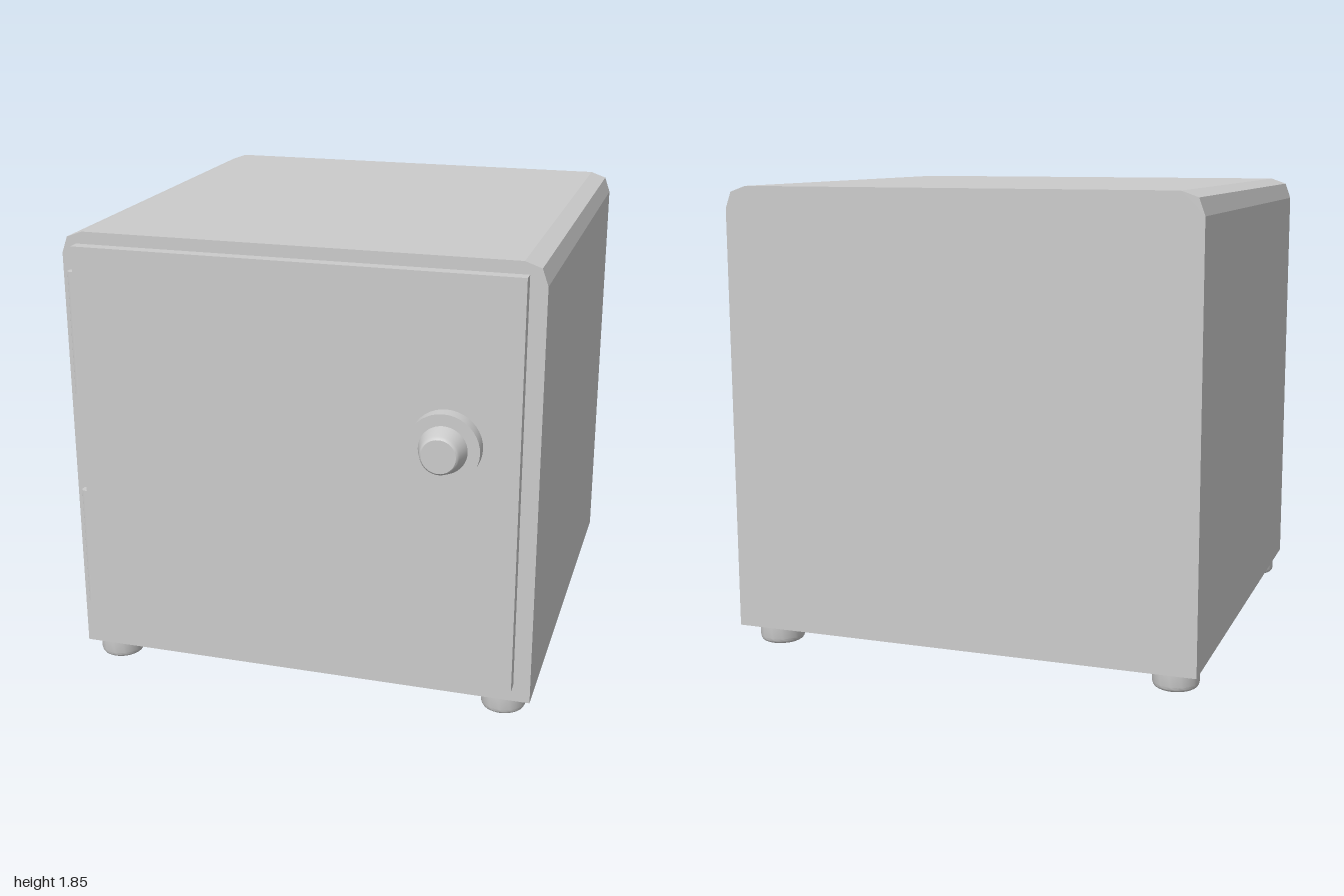
import * as THREE from 'three';
import { toCreasedNormals } from 'three/addons/utils/BufferGeometryUtils.js';

const material = new THREE.MeshStandardMaterial({ color: 0xcccccc });

function part(name, geometry, x = 0, y = 0, z = 0) {
  const mesh = new THREE.Mesh(geometry, material);
  mesh.name = name;
  mesh.position.set(x, y, z);
  return mesh;
}

// Flat-faced prism from an outline of [x, y] corners
function prism(corners, depth) {
  const shape = new THREE.Shape(corners.map(([x, y]) => new THREE.Vector2(x, y)));
  return new THREE.ExtrudeGeometry(shape, { depth, bevelEnabled: false });
}

// Turned solid from [radius, height] points, with crisp rims
function turned(points) {
  const profile = points.map(([r, h]) => new THREE.Vector2(r, h));
  return toCreasedNormals(new THREE.LatheGeometry(profile, 40), 0.5);
}

export function createModel() {
  const model = new THREE.Group();

  // Cabinet: square at the bottom, two-step chamfer along the top edges
  const rightEdge = [[0.947, 0.08], [0.947, 1.765], [0.924, 1.83], [0.859, 1.853]];
  const leftEdge = rightEdge.map(([x, y]) => [-x, y]).reverse();
  model.add(part('body', prism([...rightEdge, ...leftEdge], 1.82), 0, 0, -1));

  // Door standing proud of the front
  model.add(part('door', new THREE.BoxGeometry(1.766, 1.655, 0.05), -0.003, 0.977, 0.845));

  // Hinge strips with a rounded outer front edge
  const hingeShape = new THREE.Shape();
  hingeShape.moveTo(0, 0);
  hingeShape.lineTo(0, -0.038);
  hingeShape.lineTo(-0.016, -0.038);
  hingeShape.absarc(-0.016, -0.02, 0.018, -Math.PI / 2, -Math.PI, true);
  hingeShape.lineTo(-0.034, 0);
  const hingeGeometry = toCreasedNormals(
    new THREE.ExtrudeGeometry(hingeShape, { depth: 0.5, bevelEnabled: false, curveSegments: 6 }), 0.5);
  hingeGeometry.rotateX(-Math.PI / 2);
  for (const [name, y] of [['lowerHinge', 0.285], ['upperHinge', 1.2]]) {
    model.add(part(name, hingeGeometry, -0.885, y, 0.82));
  }

  // Dial plate and tapered knob, turned along z
  const lock = new THREE.Group();
  lock.name = 'lock';
  lock.position.set(0.6, 1.148, 0.87);
  lock.rotation.x = Math.PI / 2;
  lock.add(part('dialPlate', turned([[0, 0], [0.14, 0], [0.14, 0.056], [0, 0.056]])));
  lock.add(part('knob', turned([
    [0, 0.05], [0.095, 0.05], [0.093, 0.062], [0.078, 0.107],
    [0.075, 0.118], [0.071, 0.126], [0.066, 0.13], [0, 0.13],
  ])));
  model.add(lock);

  // Four round feet with softened bottom rims
  const footGeometry = turned([
    [0, 0], [0.078, 0], [0.084, 0.004], [0.088, 0.011], [0.09, 0.02], [0.09, 0.082], [0, 0.082],
  ]);
  for (const [side, x] of [['Left', 0.825], ['Right', -0.84]]) {
    for (const [end, z] of [['front', 0.713], ['back', -0.873]]) {
      model.add(part(`${end}${side}Foot`, footGeometry, x, 0, z));
    }
  }

  return model;
}
